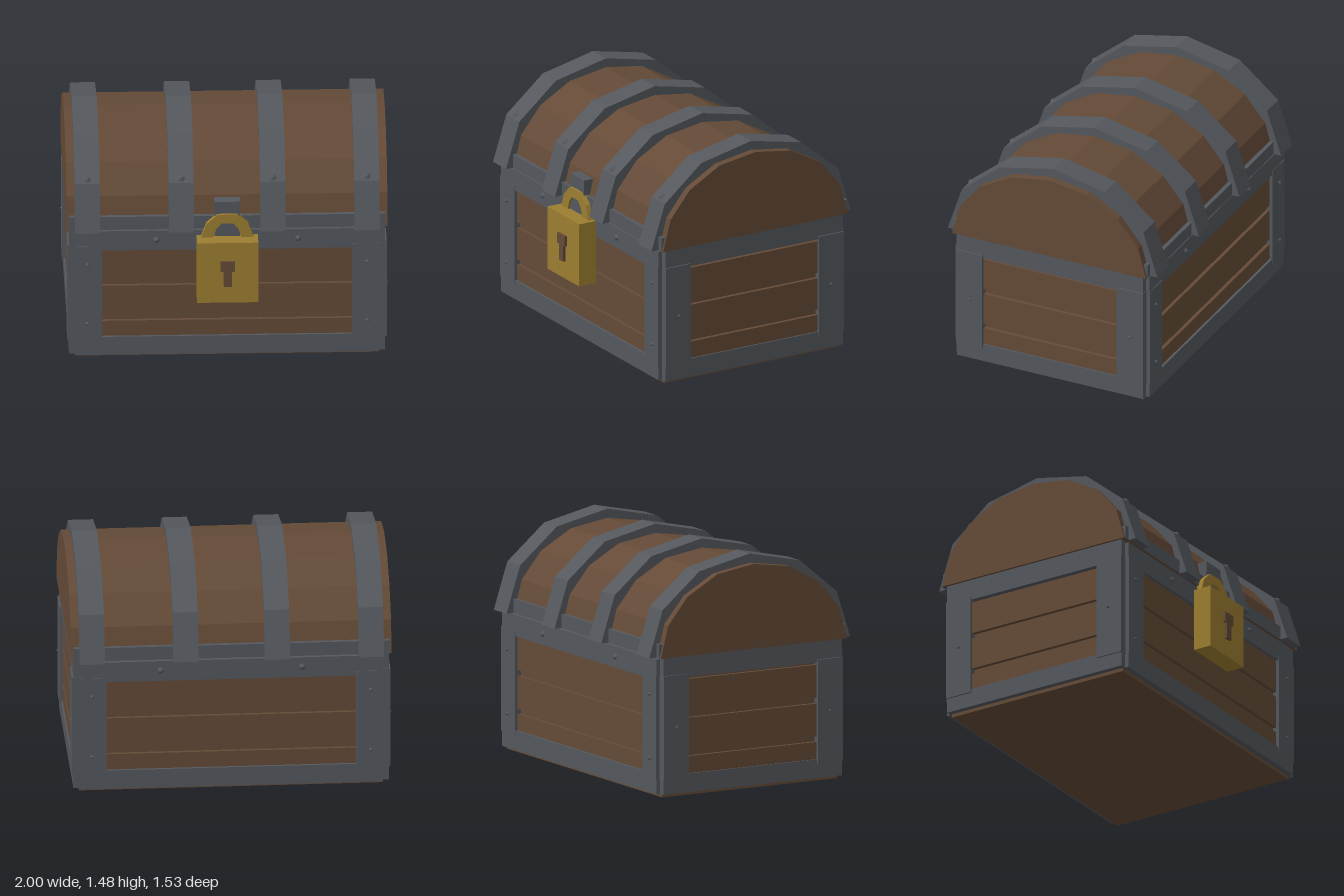
import * as THREE from 'three';

const material = (name, color) => {
  const m = new THREE.MeshStandardMaterial({ color });
  m.name = name;
  return m;
};

export function createModel() {
  const wood = material('brown wood', 0x644a37);
  const iron = material('grey iron', 0x54585d);
  const brass = material('brass', 0x9c7e30);
  const model = new THREE.Group();
  model.name = 'treasureChest';
  const ZC = -0.04; // chest centre in depth; the padlock sits in front of it

  const add = (name, geometry, mat, parent = model) => {
    const mesh = new THREE.Mesh(geometry, mat);
    mesh.name = name;
    parent.add(mesh);
    return mesh;
  };
  // Box given by its limits on each axis
  const box = (name, mat, [x0, x1], [y0, y1], [z0, z1], parent) => {
    const mesh = add(name, new THREE.BoxGeometry(x1 - x0, y1 - y0, z1 - z0), mat, parent);
    mesh.position.set((x0 + x1) / 2, (y0 + y1) / 2, (z0 + z1) / 2);
    return mesh;
  };
  // Pointed rivet facing along a normal
  const rivet = (x, y, z, normal, r, parent) => {
    const mesh = add('rivet', new THREE.CylinderGeometry(r * 0.25, r, 0.022, 8), iron, parent);
    mesh.position.set(x, y, z);
    mesh.quaternion.setFromUnitVectors(new THREE.Vector3(0, 1, 0), new THREE.Vector3(...normal).normalize());
  };
  // Arched outline, mirrored from its front half of (depth, height) points
  const arch = (half) => [...half, ...half.slice(0, -1).reverse().map(([d, y]) => [-d, y])];
  // Outline in depth and height, extruded along x
  const extrudeX = (points, width) => {
    const shape = new THREE.Shape(points.map(([d, y]) => new THREE.Vector2(d, y)));
    const g = new THREE.ExtrudeGeometry(shape, { depth: width, bevelEnabled: false });
    return g.translate(0, 0, -width / 2).rotateY(-Math.PI / 2);
  };

  // Body core, with planks standing proud to leave dark grooves
  const body = new THREE.Group();
  body.name = 'body';
  model.add(body);
  box('bodyCore', wood, [-0.945, 0.945], [0, 0.885], [-0.67, 0.59], body);
  for (const ys of [[0.03, 0.248], [0.283, 0.49], [0.525, 0.735]]) {
    box('longPlanks', wood, [-0.93, 0.93], ys, [ZC - 0.652, ZC + 0.652], body);
    box('endPlanks', wood, [-0.97, 0.97], ys, [ZC - 0.62, ZC + 0.62], body);
  }

  // Iron frames on front and back
  for (const s of [1, -1]) {
    const frame = new THREE.Group();
    frame.name = s > 0 ? 'frontFrame' : 'backFrame';
    model.add(frame);
    const zs = (a, b) => [ZC + s * a, ZC + s * b].sort((p, q) => p - q);
    box('topRail', iron, [-0.94, 0.94], [0.74, 0.873], zs(0.6, 0.668), frame);
    box('bottomRail', iron, [-0.94, 0.94], [0.022, 0.145], zs(0.6, 0.668), frame);
    for (const m of [1, -1]) {
      const xs = m > 0 ? [0.775, 0.94] : [-0.94, -0.775];
      box('post', iron, xs, [0.115, 0.77], zs(0.6, 0.672), frame);
      rivet(m * 0.44, 0.81, ZC + s * 0.674, [0, 0, s], 0.025, frame);
      for (const y of [0.24, 0.645]) rivet(m * 0.866, y, ZC + s * 0.676, [0, 0, s], 0.017, frame);
    }
    box('lidRim', iron, [-0.98, 0.98], [0.885, 0.973], zs(0.61, 0.673), frame);
  }

  // Iron frames on both ends
  for (const s of [1, -1]) {
    const frame = new THREE.Group();
    frame.name = s > 0 ? 'leftFrame' : 'rightFrame';
    model.add(frame);
    const xs = (a, b) => (s > 0 ? [a, b] : [-b, -a]);
    box('topRail', iron, xs(0.93, 0.98), [0.75, 0.885], [ZC - 0.643, ZC + 0.643], frame);
    box('bottomRail', iron, xs(0.93, 0.98), [0.022, 0.14], [ZC - 0.643, ZC + 0.643], frame);
    for (const m of [1, -1]) {
      const zs = (a, b) => (m > 0 ? [ZC + a, ZC + b] : [ZC - b, ZC - a]);
      box('post', iron, xs(0.93, 0.99), [0.115, 0.77], zs(0.465, 0.645), frame);
      rivet(s * 0.99, 0.442, ZC + m * 0.552, [s, 0, 0], 0.016, frame);
    }
  }

  // Domed lid
  const lidArch = arch([[0.67, 0.885], [0.615, 1.09], [0.475, 1.26], [0.26, 1.38], [0, 1.42]]);
  add('lid', extrudeX(lidArch, 1.99), wood).position.z = ZC;

  // Iron straps over the lid
  const outer = arch([[0.724, 0.885], [0.627, 1.18], [0.362, 1.4], [0, 1.478]]);
  const inner = arch([[0.62, 0.885], [0.54, 1.11], [0.3, 1.31], [0, 1.38]]).reverse();
  for (const x of [-0.867, -0.284, 0.284, 0.867]) {
    const strap = add('lidStrap', extrudeX([...outer, ...inner], 0.156), iron);
    strap.position.set(x, 0, ZC);
    rivet(x, 1.203, 0.564, [0, 0.77, 0.64], 0.034);
  }

  // Hasp and padlock
  box('hasp', iron, [-0.08, 0.08], [0.8, 1.075], [0.575, 0.648]);
  const lock = new THREE.Group();
  lock.name = 'padlock';
  model.add(lock);
  box('lockBody', brass, [-0.19, 0.19], [0.43, 0.84], [0.628, 0.749], lock);
  const bow = [
    ...arch([[0.165, 0.83], [0.13, 0.93], [0.06, 0.993], [0, 0.995]]),
    ...arch([[0.088, 0.83], [0.07, 0.895], [0.035, 0.933], [0, 0.935]]).reverse(),
  ];
  const bowShape = new THREE.Shape(bow.map(([x, y]) => new THREE.Vector2(x, y)));
  add('shackle', new THREE.ExtrudeGeometry(bowShape, { depth: 0.05, bevelEnabled: false }), brass, lock).position.z = 0.614;

  // Raised keyhole plate
  const key = [[-0.025, 0.545], [0.025, 0.545], [0.025, 0.65], [0.045, 0.65], [0.045, 0.717], [-0.045, 0.717], [-0.045, 0.65], [-0.025, 0.65]];
  const keyShape = new THREE.Shape(key.map(([x, y]) => new THREE.Vector2(x, y)));
  add('keyhole', new THREE.ExtrudeGeometry(keyShape, { depth: 0.02, bevelEnabled: false }), wood, lock).position.z = 0.746;

  return model;
}
